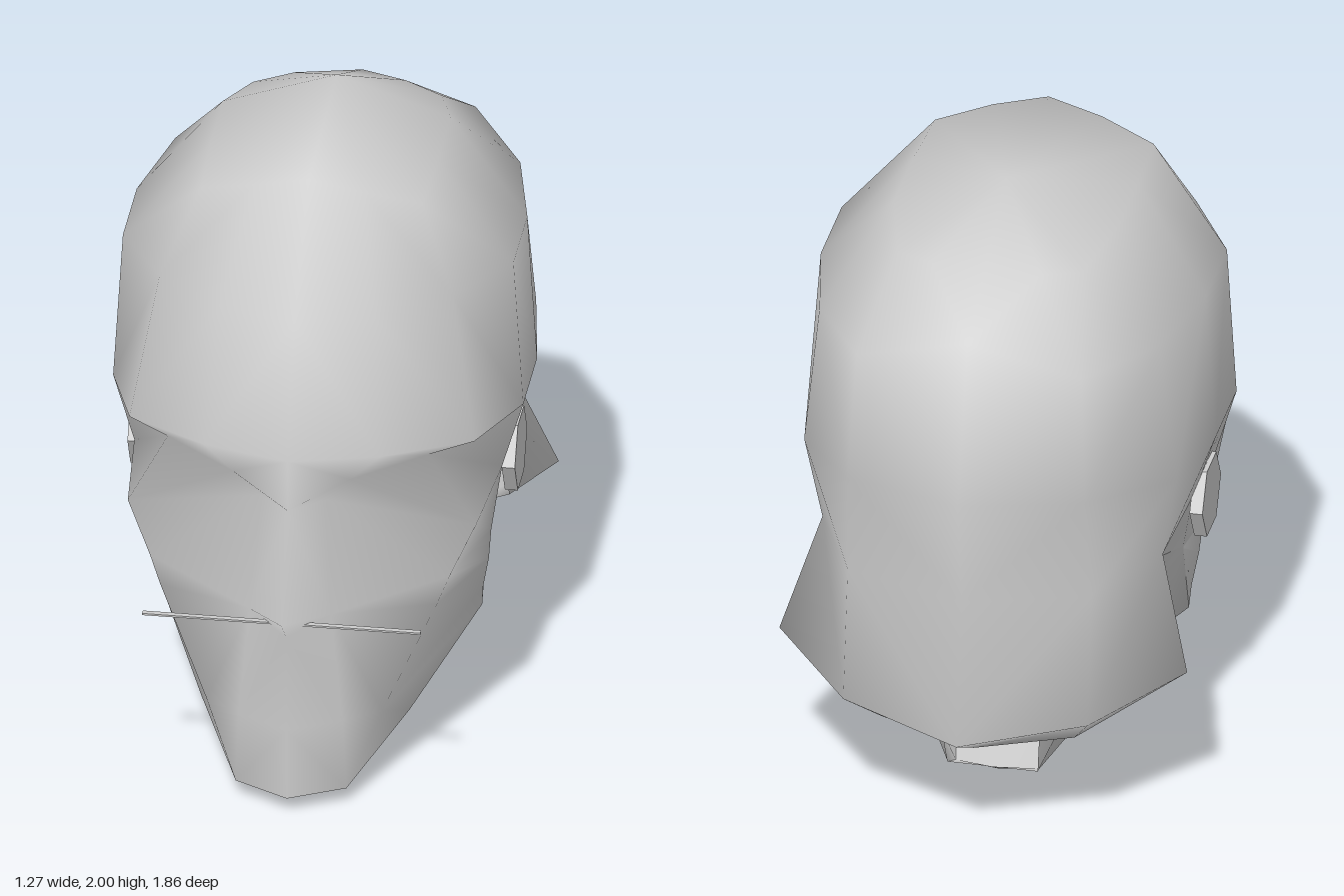
import * as THREE from 'three';
import { mergeVertices } from 'three/addons/utils/BufferGeometryUtils.js';

const material = new THREE.MeshStandardMaterial({ color: 0xcccccc, side: THREE.DoubleSide });

// Left-half grids of points (rows run downward, columns front to back), mirrored and welded.
function mirroredSurface(name, ...grids) {
  const pos = [];
  const tri = (a, b, c) => {
    const area = new THREE.Triangle(...[a, b, c].map((p) => new THREE.Vector3(...p))).getArea();
    if (area < 1e-6) return;
    pos.push(...a, ...b, ...c);
    for (const [x, y, z] of [a, c, b]) pos.push(-x, y, z);
  };
  for (const rows of grids) {
    for (let r = 0; r < rows.length - 1; r++) {
      for (let c = 0; c < rows[r].length - 1; c++) {
        const [a, b] = [rows[r][c], rows[r + 1][c]];
        const [d, e] = [rows[r + 1][c + 1], rows[r][c + 1]];
        tri(a, b, d);
        tri(a, d, e);
      }
    }
  }
  let geometry = new THREE.BufferGeometry();
  geometry.setAttribute('position', new THREE.Float32BufferAttribute(pos, 3));
  geometry = mergeVertices(geometry, 1e-4);
  geometry.computeVertexNormals();
  const mesh = new THREE.Mesh(geometry, material);
  mesh.name = name;
  return mesh;
}

export function createModel() {
  const group = new THREE.Group();
  group.name = 'head';

  // Cranium, from the crown down to eye level
  const crown = Array.from({ length: 8 }, () => [0, 2, -0.23]);
  const upper = [[0, 1.96, 0.36], [0.17, 1.92, 0.345], [0.34, 1.87, 0.3], [0.35, 1.88, 0.04],
    [0.35, 1.88, -0.23], [0.29, 1.83, -0.45], [0.17, 1.84, -0.51], [0, 1.86, -0.5]];
  const forehead = [[0, 1.63, 0.66], [0.24, 1.63, 0.6], [0.45, 1.62, 0.41], [0.6, 1.61, 0.16],
    [0.6, 1.61, -0.13], [0.53, 1.61, -0.46], [0.35, 1.63, -0.75], [0, 1.72, -0.77]];
  const brow = [[0, 1.22, 0.8], [0.27, 1.21, 0.71], [0.53, 1.17, 0.5], [0.63, 1.12, 0.16],
    [0.63, 1.12, -0.13], [0.58, 1.14, -0.45], [0.37, 1.22, -0.79], [0, 1.23, -0.91]];
  const eyes = [[0, 1.05, 0.8], [0.1, 1.03, 0.68], [0.535, 0.88, 0.5], [0.565, 0.9, 0.16],
    [0.55, 0.88, -0.1], [0.53, 0.86, -0.42], [0.38, 0.87, -0.74], [0, 0.86, -0.85]];
  const browEdge = [eyes[0], [0.18, 1.13, 0.72], [0.4, 1.16, 0.585], brow[3], brow[4]];

  // Nose, cheeks and chin
  const nose = [[0, 0.72, 0.93], [0.125, 0.67, 0.745], [0.46, 0.72, 0.546], [0.53, 0.67, 0.15], [0.5, 0.65, 0]];
  const lip = [[0, 0.625, 0.83], nose[1], [0.425, 0.634, 0.57], [0.52, 0.56, 0.13], [0.5, 0.645, 0]];
  const mouth = [[0, 0.3, 0.825], [0.16, 0.3, 0.74], [0.27, 0.3, 0.66], [0.5, 0.45, 0.115], [0.5, 0.64, 0]];
  const jaw = [[0, 0.06, 0.82], [0.17, 0.06, 0.73], [0.32, 0.18, 0.43], [0.495, 0.38, 0.1], [0.5, 0.635, 0]];

  // Back of the skull, flaring at its lower corners, notched behind the ears and open below
  const notch = [0.47, 0.79, -0.36];
  const skullBack = [eyes[4], eyes[5], eyes[5], eyes[6], eyes[7]];
  const nape = [nose[4], notch, [0.635, 0.53, -0.55], [0.38, 0.45, -0.8], [0, 0.4, -0.93]];
  const rim = [nose[4], notch, [0.49, 0.43, -0.5], [0.3, 0.3, -0.62], [0, 0.26, -0.68]];

  group.add(mirroredSurface('skullAndFace',
    [crown, upper, forehead, brow],
    [brow.slice(0, 5), browEdge, eyes.slice(0, 5), nose, lip, mouth],
    [[...mouth.slice(0, 3), ...mouth.slice(2)], [jaw[0], jaw[1], ...jaw.slice(1)]],
    [brow.slice(4), eyes.slice(4)],
    [skullBack, nape, rim]));

  // Neck wedge below the jaw, open at the back
  const neckBack = [0.17, 0.39, -0.5];
  const neckTop = [jaw[1], jaw[2], jaw[3], nose[4], notch, neckBack];
  const neckMiddle = [jaw[1], jaw[2], jaw[3], [0.43, 0.355, 0], [0.3, 0.41, -0.355], neckBack];
  const neckEdge = [[0.15, 0.06, 0.7], [0.16, 0.09, 0.4], [0.23, 0.2, 0.2], [0.22, 0.18, 0.1],
    [0.13, 0.02, -0.35], [0.14, 0.05, -0.42]];
  const neckBase = [[0, 0.06, 0.72], [0, 0.07, 0.55], [0, 0.1, 0.31], [0, 0.08, 0.1],
    [0, 0.005, -0.35], [0, 0.05, -0.42]];
  group.add(mirroredSurface('neckSides', [neckTop, neckMiddle, neckEdge]));
  group.add(mirroredSurface('neckUnderside', [neckEdge, neckBase]));
  group.add(mirroredSurface('chinUnderside', [[jaw[0], jaw[1]], [neckBase[0], neckEdge[0]]]));

  // Hexagonal ears
  const flat = material.clone();
  flat.flatShading = true;
  for (const side of [1, -1]) {
    const ear = new THREE.Mesh(new THREE.CylinderGeometry(0.13, 0.13, 0.04, 6).rotateZ(Math.PI / 2), flat);
    ear.position.set(side * 0.575, 0.86, -0.03);
    ear.name = side > 0 ? 'leftEar' : 'rightEar';
    group.add(ear);
  }

  // Thin bar under the nose
  const bar = new THREE.Mesh(new THREE.BoxGeometry(0.855, 0.006, 0.018), flat);
  bar.position.set(-0.017, 0.665, 0.81);
  bar.name = 'noseBar';
  group.add(bar);

  return group;
}
